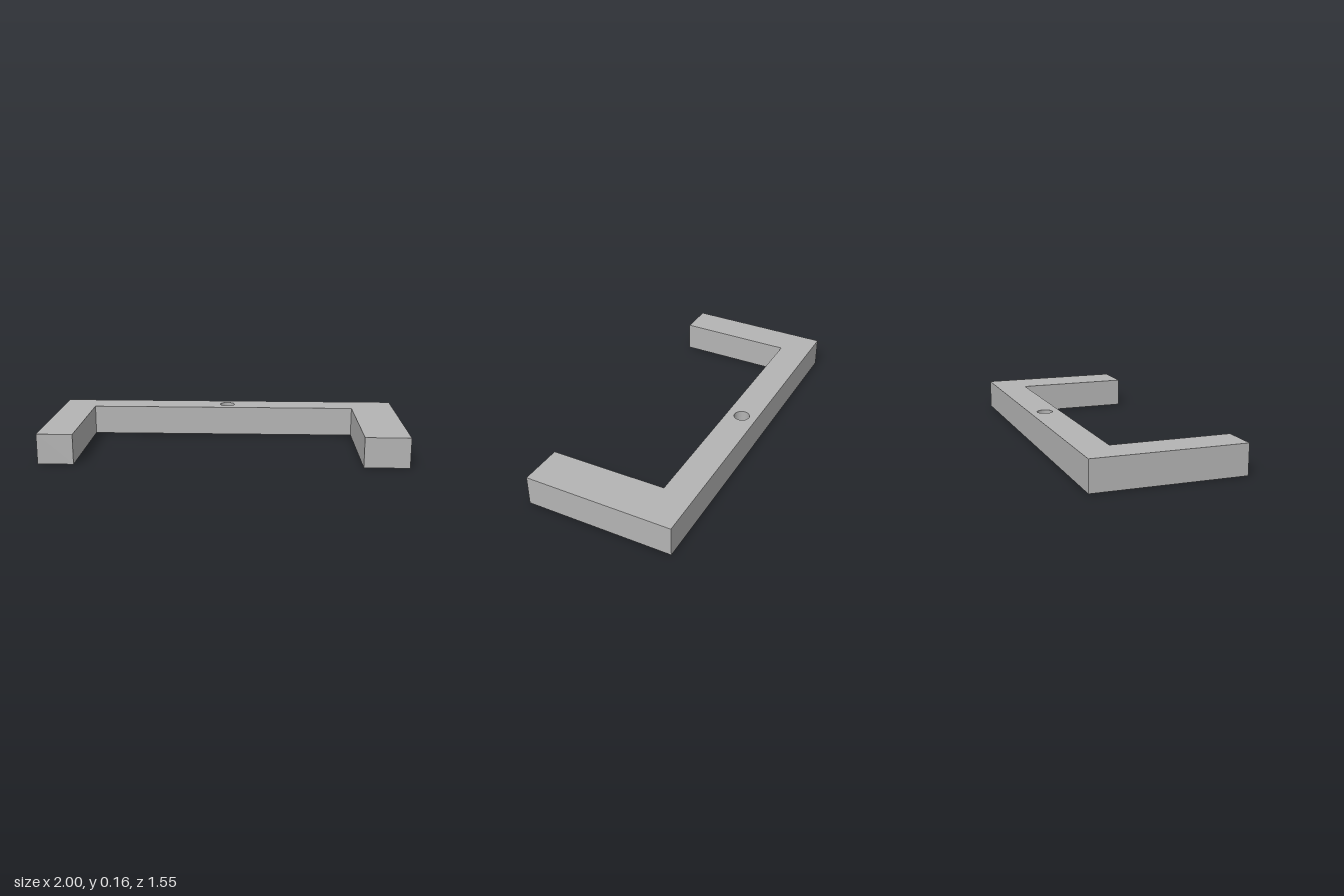
import * as THREE from 'three';

const HEIGHT = 0.155;

export function createModel() {
  const group = new THREE.Group();
  group.name = 'bracket';
  const grey = new THREE.MeshStandardMaterial({ color: 0xb4b4b4, flatShading: true });
  grey.name = 'grey';

  // Plan outline as [x, z]: long bar with a narrow arm and a wide arm
  const outline = [
    [-0.635, -0.777], [-1, -0.1], [-0.84, -0.015], [-0.553, -0.55],
    [0.72, 0.13], [0.435, 0.668], [0.635, 0.777], [1, 0.097],
  ];
  const shape = new THREE.Shape(outline.map(([x, z]) => new THREE.Vector2(x, -z)));

  // Round hole through the middle of the bar
  const hole = new THREE.Path();
  hole.absarc(0.142, 0.27, 0.04, 0, Math.PI * 2, true);
  shape.holes.push(hole);

  // Extrude upward from the ground
  const geometry = new THREE.ExtrudeGeometry(shape, {
    depth: HEIGHT, bevelEnabled: false, curveSegments: 32,
  });
  geometry.rotateX(-Math.PI / 2);

  const body = new THREE.Mesh(geometry, grey);
  body.name = 'bracketBody';
  group.add(body);
  return group;
}
